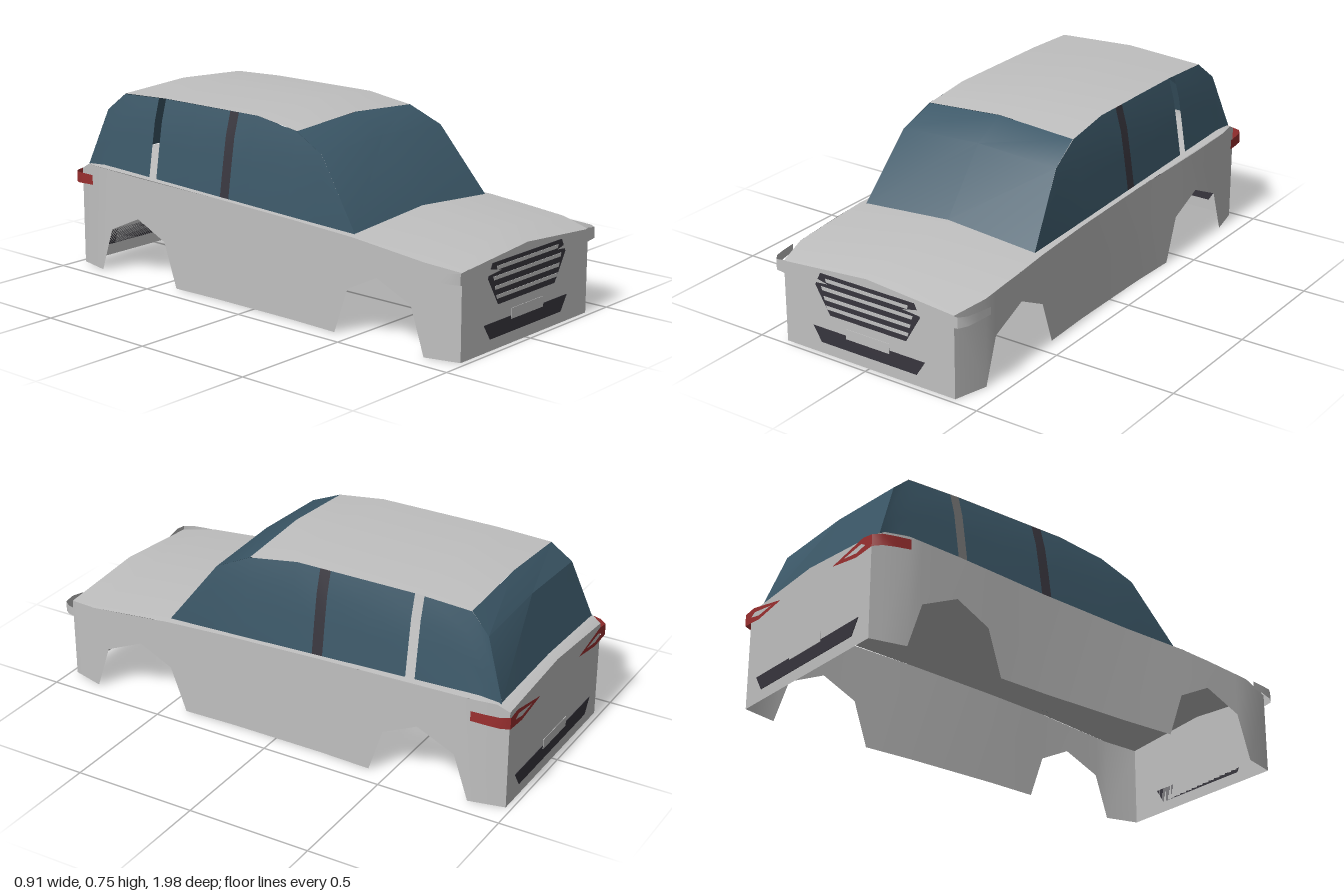
import * as THREE from 'three';
import { toCreasedNormals } from 'three/addons/utils/BufferGeometryUtils.js';

const flat = (name, color) => {
  const m = new THREE.MeshStandardMaterial({ color, side: THREE.DoubleSide });
  m.name = name;
  return m;
};

// Linear interpolation through [position, value] pairs sorted upwards
function lerpTable(table, t) {
  if (t <= table[0][0]) return table[0][1];
  for (let i = 1; i < table.length; i++) {
    const [a, u] = table[i - 1], [b, v] = table[i];
    if (t <= b) return u + ((v - u) * (t - a)) / (b - a);
  }
  return table[table.length - 1][1];
}

// Sheet stretched over rows of points, sharp edges kept
function sheet(rows) {
  const n = rows[0].length, index = [];
  for (let r = 0; r < rows.length - 1; r++)
    for (let c = 0; c < n - 1; c++) {
      const a = r * n + c, b = a + n;
      index.push(a, b, a + 1, b, b + 1, a + 1);
    }
  const g = new THREE.BufferGeometry();
  g.setAttribute('position', new THREE.Float32BufferAttribute(rows.flat(2), 3));
  g.setIndex(index);
  return toCreasedNormals(g, 0.5);
}

const shape = (pts) => new THREE.Shape(pts.map(([x, y]) => new THREE.Vector2(x, y)));
const plate = (pts, z, depth = 0.002) =>
  new THREE.ExtrudeGeometry(shape(pts), { depth, bevelEnabled: false }).translate(0, 0, z);
const mirrored = (pts) => [...pts, ...pts.map(([x, y]) => [-x, y]).reverse()];

const END = 0.977;
// Body half width, shoulder height and centre-line height along z
const width = [[-END, 0.395], [-0.84, 0.427], [-0.6, 0.427], [-0.2, 0.413], [0.2, 0.413], [0.6, 0.427], [0.84, 0.427], [END, 0.39]];
const shoulder = [[-END, 0.4], [-0.93, 0.425], [-0.85, 0.43], [-0.2, 0.405], [0.2, 0.39], [0.5, 0.38], [0.84, 0.35], [END, 0.33]];
const crown = [[-END, 0.43], [-0.93, 0.442], [-0.85, 0.448], [-0.2, 0.43], [0.2, 0.415], [0.5, 0.413], [0.84, 0.386], [END, 0.362]];
// Lower edge of the sides, with the wheel arches
const sill = [[END, 0], [0.84, 0], [0.78, 0.18], [0.62, 0.25], [0.48, 0.18], [0.415, 0], [0.2, 0], [-0.2, 0],
  [-0.415, 0], [-0.475, 0.18], [-0.62, 0.25], [-0.775, 0.18], [-0.835, 0], [-0.93, 0], [-END, 0]];
// Top edge of the side glass along z, and glass half width by height
const glassTop = [[-0.94, 0.428], [-0.86, 0.655], [-0.78, 0.725], [-0.55, 0.735], [-0.05, 0.735], [0.155, 0.706], [0.295, 0.642], [0.49, 0.384]];
const glassWidth = [[0.38, 0.394], [0.43, 0.39], [0.645, 0.354], [0.735, 0.328]];

export function createModel() {
  const car = new THREE.Group();
  car.name = 'car';
  const paint = flat('silver paint', 0xc0c0c0);
  const glass = flat('blue glass', 0x3b5767);
  const trim = flat('dark trim', 0x37353d);
  const red = flat('tail light red', 0x9c3030);
  const add = (name, geo, mat) => {
    const m = new THREE.Mesh(geo, mat);
    m.name = name;
    car.add(m);
    return m;
  };
  const sides = [['left', 1], ['right', -1]];

  // Bonnet, belt deck and tail in one sheet
  add('deck', sheet(shoulder.map(([z, y]) => {
    const w = lerpTable(width, z);
    return [[-w, y, z], [0, lerpTable(crown, z), z], [w, y, z]];
  })), paint);

  // Side walls
  for (const [side, s] of sides)
    add(side + 'Wall', sheet(sill.map(([z, y]) => {
      const x = s * lerpTable(width, z);
      return [[x, y, z], [x, lerpTable(shoulder, z), z]];
    })), paint);

  // Nose and tail panels
  for (const [name, z] of [['nosePanel', END], ['tailPanel', -END]]) {
    const w = lerpTable(width, z), e = lerpTable(shoulder, z), c = lerpTable(crown, z);
    const g = new THREE.ShapeGeometry(shape([[-w, 0], [w, 0], [w, e], [0, c], [-w, e]]));
    if (z < 0) g.rotateY(Math.PI);
    add(name, g.translate(0, 0, z), paint);
  }

  // Roof, windscreen and rear window, each row: z, half width, edge height, centre height
  const across = (rows) => sheet(rows.map(([z, w, e, c]) => [[-w, e, z], [0, c, z], [w, e, z]]));
  add('roof', across([[-0.78, 0.33, 0.727, 0.745], [-0.55, 0.328, 0.736, 0.755],
    [-0.05, 0.328, 0.736, 0.755], [0.155, 0.334, 0.707, 0.729]]), paint);
  add('windscreen', across([[0.155, 0.334, 0.706, 0.728], [0.295, 0.354, 0.642, 0.66], [0.49, 0.394, 0.384, 0.415]]), glass);
  add('rearWindow', across([[-0.94, 0.39, 0.428, 0.443], [-0.86, 0.352, 0.655, 0.672], [-0.78, 0.33, 0.726, 0.744]]), glass);

  // Side windows and centre pillars, with an open slot before the rear quarter window
  const windows = [
    ['FrontWindow', [0.49, 0.295, 0.155, -0.05, -0.15], glass],
    ['CentrePillar', [-0.15, -0.195], trim],
    ['RearWindow', [-0.195, -0.37, -0.548], glass],
    ['QuarterWindow', [-0.587, -0.78, -0.86, -0.94], glass],
  ];
  for (const [side, s] of sides)
    for (const [name, stations, mat] of windows)
      add(side + name, sheet(stations.map((z) => {
        const top = lerpTable(glassTop, z);
        const low = Math.min(top, lerpTable(shoulder, z) + 0.002);
        return [0, 0.4, 0.72, 1].map((t) => {
          const y = low + (top - low) * t;
          return [s * lerpTable(glassWidth, y), y, z];
        });
      })), mat);

  // Grille with slats
  add('grille', plate(mirrored([[0.175, 0.167], [0.24, 0.277], [0.215, 0.328]]), END), trim);
  [[0.306, 0.19], [0.27, 0.21], [0.233, 0.2], [0.197, 0.19]].forEach(([y, w], i) =>
    add('grilleSlat' + (i + 1), plate(mirrored([[w - 0.004, y - 0.007], [w, y + 0.007]]), END + 0.003), paint));

  // Lower intakes and number plates at both ends
  for (const [name, w, turn] of [['front', 0.258, 0], ['rear', 0.33, Math.PI]]) {
    add(name + 'Intake', plate(mirrored([[w - 0.038, 0.045], [w, 0.105]]), END).rotateY(turn), trim);
    add(name + 'NumberPlate', plate(mirrored([[0.1, 0.094], [0.1, 0.135]]), END + 0.004).rotateY(turn), paint);
  }

  // Wrap-around lamps standing just off the body
  const wrap = (s, dir, low, high) => sheet([[0.415, 0.99], [0.437, 0.96], [0.448, 0.91], [0.457, 0.85]].map(([x, z], i) => [
    [s * x, low[0] + ((low[1] - low[0]) * i) / 3, dir * z],
    [s * x, high[0] + ((high[1] - high[0]) * i) / 3, dir * z]]));
  for (const [side, s] of sides) {
    const flip = (pts) => pts.map(([x, y]) => [x * s, y]);
    add(side + 'Headlamp', new THREE.ShapeGeometry(
      shape(flip([[0.17, 0.298], [0.34, 0.283], [0.415, 0.292], [0.415, 0.335], [0.37, 0.341]]))).translate(0, 0, 0.99), paint);
    add(side + 'HeadlampWrap', wrap(s, 1, [0.292, 0.302], [0.335, 0.332]), paint);
    const tail = shape(flip([[0.17, 0.362], [0.32, 0.338], [0.415, 0.345], [0.415, 0.392], [0.36, 0.4]]));
    tail.holes.push(new THREE.Path(flip([[0.24, 0.365], [0.35, 0.38], [0.375, 0.366], [0.32, 0.355]])
      .map(([x, y]) => new THREE.Vector2(x, y))));
    add(side + 'TailLamp', new THREE.ShapeGeometry(tail).rotateY(Math.PI).scale(-1, 1, 1).translate(0, 0, -0.99), red);
    add(side + 'TailLampWrap', wrap(s, -1, [0.345, 0.36], [0.392, 0.4]), red);
  }
  // Normals of the mirrored tail lamps must follow their new facing
  car.traverse((o) => { if (/TailLamp$/.test(o.name)) o.geometry.computeVertexNormals(); });

  return car;
}
